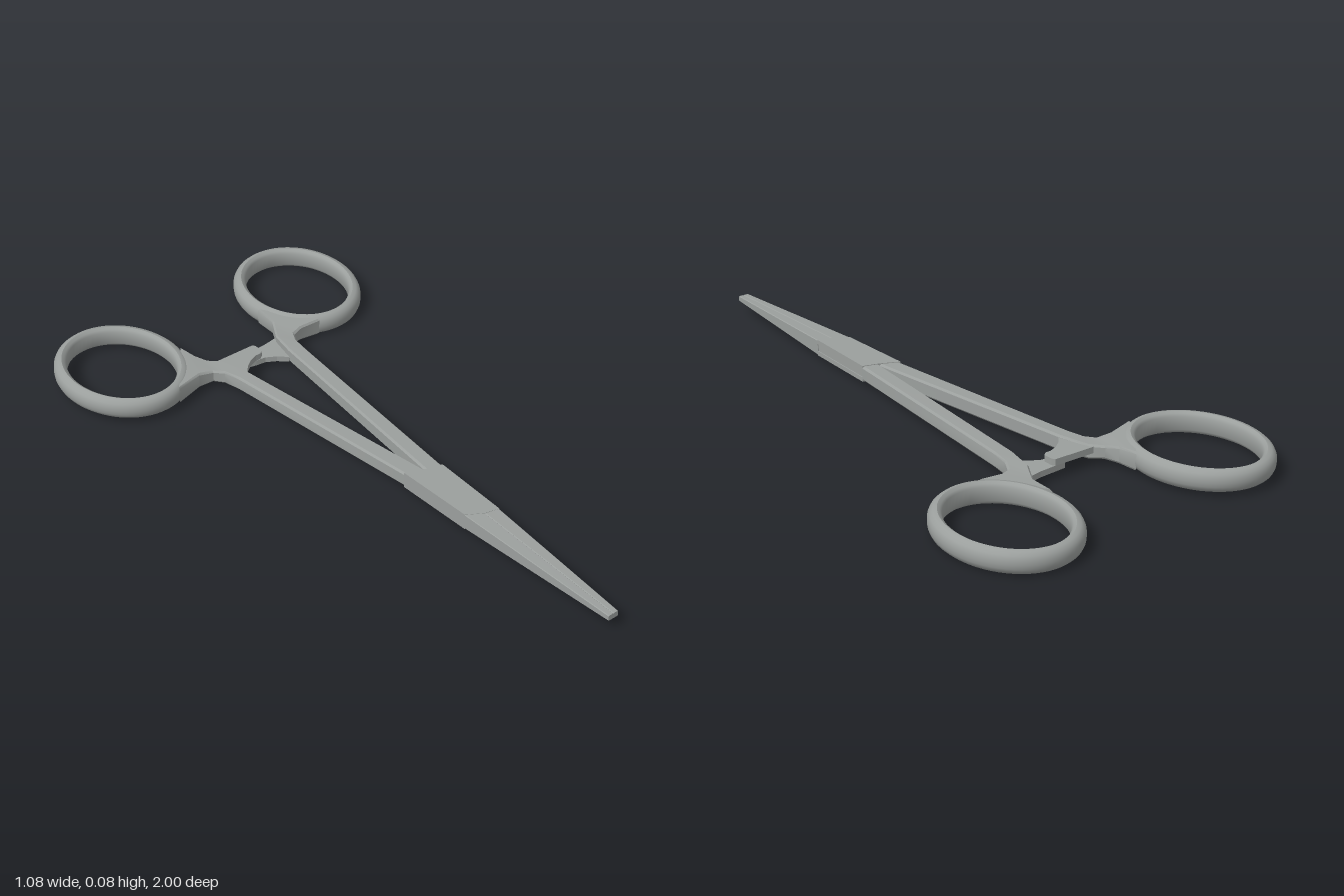
import * as THREE from 'three';
import { toCreasedNormals } from 'three/addons/utils/BufferGeometryUtils.js';

const steel = new THREE.MeshStandardMaterial({ color: 0x9b9f9d });
steel.name = 'satin steel';

// Skin a list of equal-length point loops; closed joins last to first, otherwise both ends are capped.
function loft(loops, closed, crease = 0.6) {
  const n = loops[0].length, m = loops.length, index = [];
  const pos = loops.flat(2);
  for (let i = 0; i < (closed ? m : m - 1); i++) {
    for (let j = 0; j < n; j++) {
      const a = i * n + j, b = i * n + (j + 1) % n;
      const c = ((i + 1) % m) * n + j, d = ((i + 1) % m) * n + (j + 1) % n;
      index.push(a, b, d, a, d, c);
    }
  }
  if (!closed) {
    const e = (m - 1) * n;
    for (let j = 1; j < n - 1; j++) index.push(0, j + 1, j, e, e + j, e + j + 1);
  }
  // Turn the faces outward whichever way the loops run
  const p = (i) => new THREE.Vector3().fromArray(pos, index[i] * 3);
  let volume = 0;
  for (let i = 0; i < index.length; i += 3) volume += p(i).dot(p(i + 1).cross(p(i + 2)));
  if (volume < 0) index.reverse();
  const g = new THREE.BufferGeometry();
  g.setAttribute('position', new THREE.Float32BufferAttribute(pos, 3));
  g.setIndex(index);
  return toCreasedNormals(g, crease);
}

// Chamfered bar through cross-sections [x1, z1, x2, z2, yLow, yHigh]
function bar(sections, chamfer) {
  return loft(sections.map(([x1, z1, x2, z2, lo, hi]) => {
    const w = Math.hypot(x2 - x1, z2 - z1), k = chamfer / w;
    const at = (t, y) => [x1 + (x2 - x1) * t, y, z1 + (z2 - z1) * t];
    return [at(k, lo), at(1 - k, lo), at(1, lo + chamfer), at(1, hi - chamfer),
      at(1 - k, hi), at(k, hi), at(0, hi - chamfer), at(0, lo + chamfer)];
  }), false);
}

// Flat plate from an outline of [x, z] between two heights
function plate(outline, lo, hi) {
  const shape = new THREE.Shape(outline.map(([x, z]) => new THREE.Vector2(x, -z)));
  const g = new THREE.ExtrudeGeometry(shape, { depth: hi - lo, bevelEnabled: false });
  return g.rotateX(-Math.PI / 2).translate(0, lo, 0);
}

// Finger ring: flat inner wall, rounded outside, swept round an oval
function fingerRing(cx, cy, cz, tilt) {
  const half = [[0, 0.02], [0.005, 0.028], [0.013, 0.0335], [0.024, 0.031], [0.033, 0.023], [0.038, 0.012]];
  const profile = [...half, [0.039, 0], ...half.map(([o, y]) => [o, -y]).reverse()];
  const loops = [];
  for (let i = 0; i < 64; i++) {
    const t = (i / 64) * Math.PI * 2;
    loops.push(profile.map(([o, y]) => [(0.154 + o) * Math.cos(t), y, (0.191 + o) * Math.sin(t)]));
  }
  return loft(loops, true, 0.7).rotateY(tilt).translate(cx, cy, cz);
}

export function createModel() {
  const model = new THREE.Group();
  model.name = 'lockingForceps';
  const add = (name, geometry) => {
    const mesh = new THREE.Mesh(geometry, steel);
    mesh.name = name;
    model.add(mesh);
  };

  // Finger rings, one slightly higher and further forward than the other
  add('rightFingerRing', fingerRing(-0.35, 0.0425, -0.741, 0.07));
  add('leftFingerRing', fingerRing(0.346, 0.0335, -0.771, -0.07));

  // Arms, flaring into the rings
  add('rightArm', bar([
    [-0.288, -0.524, -0.161, -0.698, 0.014, 0.071],
    [-0.198, -0.548, -0.151, -0.64, 0.017, 0.068],
    [-0.151, -0.54, -0.132, -0.603, 0.021, 0.062],
    [-0.127, -0.513, -0.1, -0.571, 0.019, 0.063],
    [-0.114, -0.46, -0.071, -0.481, 0.018, 0.065],
    [-0.024, 0.21, 0.035, 0.235, 0.018, 0.065],
  ], 0.006));
  add('leftArm', bar([
    [0.272, -0.558, 0.156, -0.725, 0.006, 0.062],
    [0.204, -0.563, 0.153, -0.646, 0.01, 0.06],
    [0.167, -0.55, 0.132, -0.608, 0.016, 0.059],
    [0.148, -0.513, 0.111, -0.571, 0.018, 0.062],
    [0.14, -0.45, 0.095, -0.487, 0.018, 0.065],
    [0.087, 0.249, 0.035, 0.235, 0.018, 0.065],
  ], 0.006));

  // Ratchet: two overlapping locking bars
  add('upperRatchetBar', plate([
    [-0.119, -0.58], [0.026, -0.58], [0.032, -0.57], [0.032, -0.54], [0.02, -0.53], [0.003, -0.53],
    [-0.025, -0.519], [-0.05, -0.5], [-0.071, -0.476], [-0.11, -0.5],
  ], 0.0385, 0.058));
  add('lowerRatchetBar', plate([
    [0.119, -0.59], [0.08, -0.583], [-0.012, -0.576], [-0.018, -0.566], [-0.018, -0.535], [0.003, -0.53],
    [0.035, -0.526], [0.066, -0.508], [0.093, -0.482], [0.135, -0.51],
  ], 0.02, 0.038));

  // Box joint: two cheeks around a slightly recessed core
  const joint = (side) => [
    [-0.024, 0.21], [0.035, 0.235], [0.087 - side, 0.249],
    [0.08 - side, 0.5], [0.036, 0.49], [-0.013, 0.46],
  ];
  add('upperJointCheek', plate(joint(0), 0.053, 0.067));
  add('jointCore', plate(joint(0.003), 0.03, 0.053));
  add('lowerJointCheek', plate(joint(0), 0.016, 0.03));

  // Tapered jaws, closed along the middle
  add('rightJaw', bar([
    [-0.013, 0.46, 0.036, 0.49, 0.017, 0.066],
    [0.0185, 1, 0.036, 1, 0.033, 0.051],
  ], 0.002));
  add('leftJaw', bar([
    [0.08, 0.5, 0.036, 0.49, 0.017, 0.066],
    [0.0535, 1, 0.036, 1, 0.033, 0.051],
  ], 0.002));

  return model;
}
